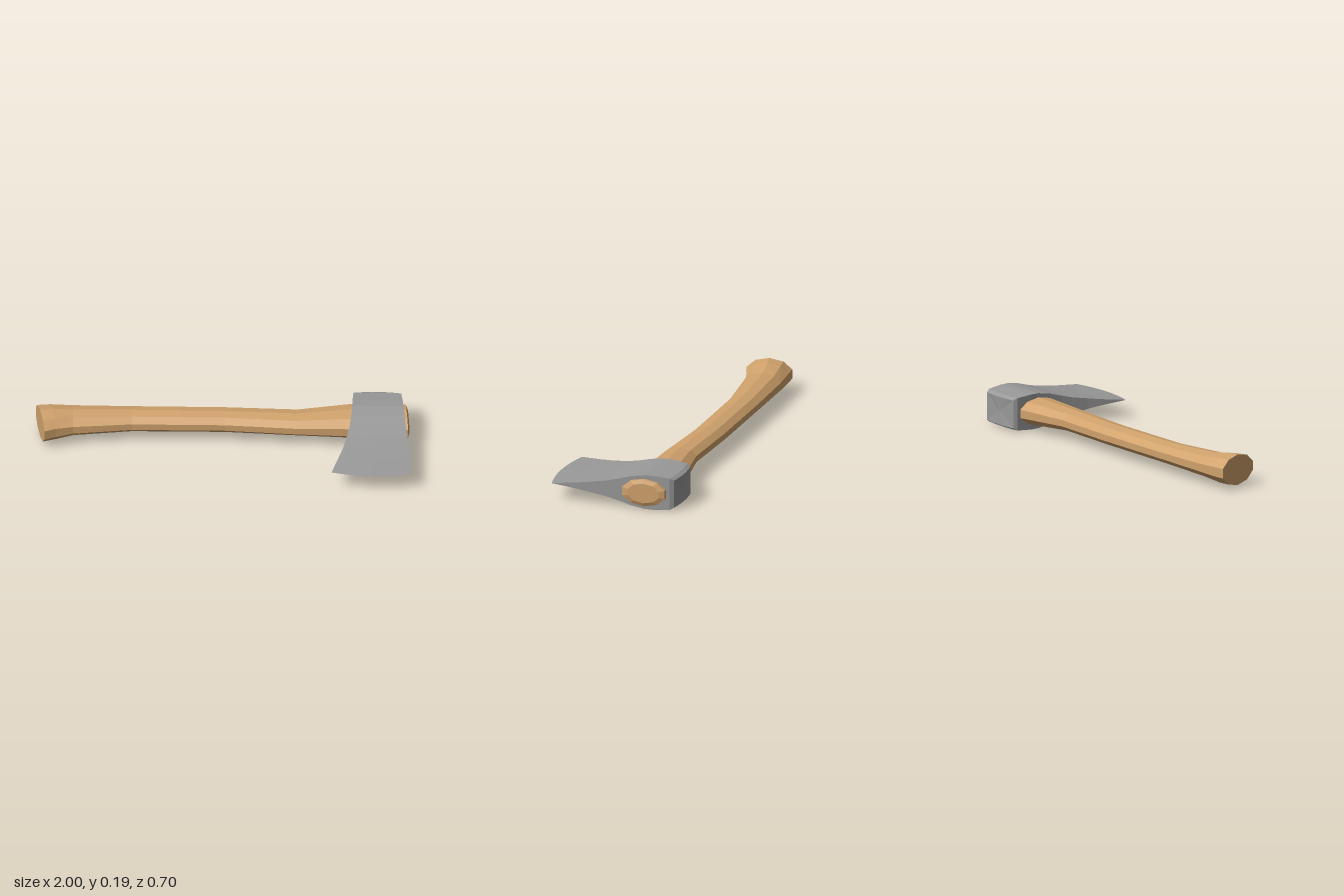
import * as THREE from 'three';

const steel = new THREE.MeshStandardMaterial({ color: 0x999999 });
steel.name = 'steel';
const wood = new THREE.MeshStandardMaterial({ color: 0xd0a26c });
wood.name = 'wood';

const MID_Y = 0.096;

// Joins a stack of closed rings into a faceted solid with fan caps.
function loft(rings, capStart, capEnd) {
  const pos = [];
  const tri = (...pts) => pts.forEach((p) => pos.push(p.x, p.y, p.z));
  const n = rings[0].length;
  for (let i = 0; i < rings.length - 1; i++) {
    for (let j = 0; j < n; j++) {
      const k = (j + 1) % n;
      const a = rings[i], b = rings[i + 1];
      tri(a[j], b[j], b[k]);
      tri(a[j], b[k], a[k]);
    }
  }
  const cap = (ring, flip) => {
    const c = new THREE.Vector3();
    ring.forEach((p) => c.addScaledVector(p, 1 / n));
    ring.forEach((p, j) => {
      const q = ring[(j + 1) % n];
      if (flip) tri(c, q, p);
      else tri(c, p, q);
    });
  };
  if (capStart) cap(rings[0], false);
  if (capEnd) cap(rings[rings.length - 1], true);
  const g = new THREE.BufferGeometry();
  g.setAttribute('position', new THREE.Float32BufferAttribute(pos, 3));
  g.computeVertexNormals();
  return g;
}

// Handle: ten-sided oval stations given as back x, back z, front x, front z, half height
function handleGeometry() {
  const stations = [
    [-1.0, -0.235, -0.947, 0.004, 0.083],
    [-0.93, -0.241, -0.89, -0.022, 0.082],
    [-0.8, -0.25, -0.8, -0.05, 0.067],
    [-0.49, -0.256, -0.49, -0.09, 0.056],
    [0, -0.26, 0, -0.095, 0.055],
    [0.38, -0.25, 0.38, -0.07, 0.056],
    [0.67, -0.303, 0.67, -0.066, 0.073],
    [0.945, -0.3, 0.968, -0.066, 0.075],
    [0.957, -0.27, 0.974, -0.1, 0.055],
  ];
  const reach = Math.cos(Math.PI / 10);
  const rings = stations.map(([bx, bz, fx, fz, h]) =>
    Array.from({ length: 10 }, (_, j) => {
      const a = ((j + 0.5) * Math.PI) / 5;
      const t = 0.5 + (0.5 * Math.cos(a)) / reach;
      return new THREE.Vector3(
        THREE.MathUtils.lerp(bx, fx, t),
        MID_Y + h * Math.sin(a),
        THREE.MathUtils.lerp(bz, fz, t)
      );
    })
  );
  return loft(rings, true, true);
}

// Head: sections from poll to cutting edge as z, left x, right x, half height, bow
function headGeometry() {
  const sections = [
    [-0.35, 0.685, 0.912, 0.076, -0.01],
    [-0.328, 0.673, 0.925, 0.088, -0.008],
    [-0.235, 0.67, 0.936, 0.095, 0],
    [-0.185, 0.67, 0.941, 0.095, 0],
    [-0.11, 0.667, 0.949, 0.082, 0],
    [-0.04, 0.661, 0.957, 0.061, 0],
    [0.03, 0.65, 0.966, 0.044, 0.003],
    [0.12, 0.633, 0.977, 0.029, 0.008],
    [0.21, 0.61, 0.987, 0.016, 0.015],
    [0.35, 0.575, 1.0, 0.0005, 0.029],
  ];
  const cols = 8;
  const rings = sections.map(([z, x0, x1, h, bow]) => {
    const row = (side) =>
      Array.from({ length: cols + 1 }, (_, i) => {
        const t = i / cols;
        return new THREE.Vector3(
          THREE.MathUtils.lerp(x0, x1, t),
          MID_Y + side * h,
          z - bow * (2 * t - 1) ** 2
        );
      });
    return [...row(1), ...row(-1).reverse()];
  });
  return loft(rings, true, true);
}

export function createModel() {
  const model = new THREE.Group();
  model.name = 'axe';
  const handle = new THREE.Mesh(handleGeometry(), wood);
  handle.name = 'handle';
  const head = new THREE.Mesh(headGeometry(), steel);
  head.name = 'axeHead';
  model.add(handle, head);
  return model;
}
